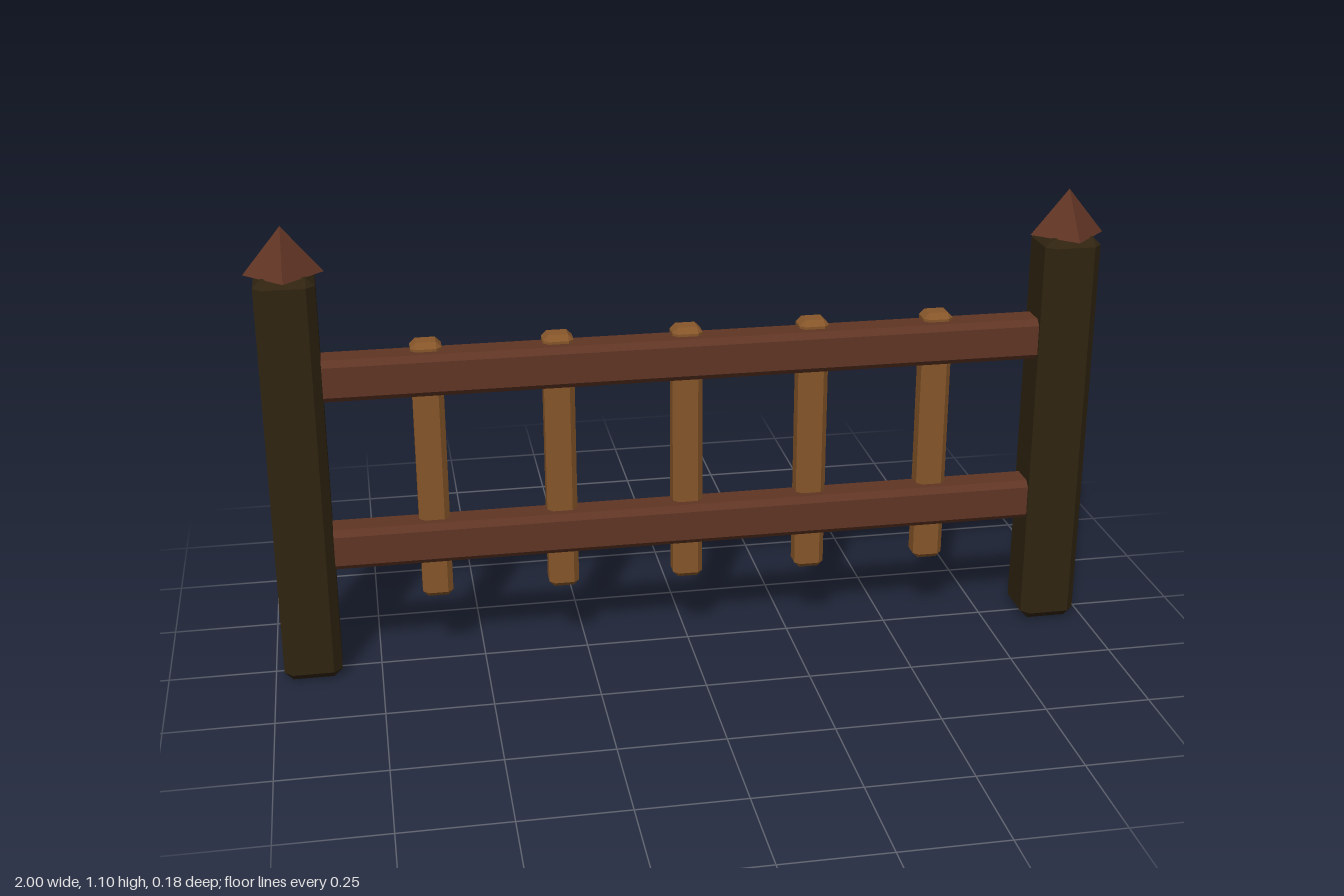
import * as THREE from 'three';
import { ConvexGeometry } from 'three/addons/geometries/ConvexGeometry.js';

const postWood = new THREE.MeshStandardMaterial({ color: 0x302411 });
postWood.name = 'darkPostWood';
const railWood = new THREE.MeshStandardMaterial({ color: 0x603524 });
railWood.name = 'redBrownWood';
const slatWood = new THREE.MeshStandardMaterial({ color: 0x87562a });
slatWood.name = 'lightSlatWood';

// Box with every edge cut by a flat chamfer c, centred on the origin
function chamferBox(w, h, d, c) {
  const points = [];
  for (const sx of [-1, 1]) for (const sy of [-1, 1]) for (const sz of [-1, 1]) {
    for (let axis = 0; axis < 3; axis++) {
      const cut = [c, c, c];
      cut[axis] = 0;
      points.push(new THREE.Vector3(
        sx * (w / 2 - cut[0]), sy * (h / 2 - cut[1]), sz * (d / 2 - cut[2])));
    }
  }
  return new ConvexGeometry(points);
}

function addPart(group, name, geometry, material, x, y, z) {
  const mesh = new THREE.Mesh(geometry, material);
  mesh.name = name;
  mesh.position.set(x, y, z);
  group.add(mesh);
}

export function createModel() {
  const fence = new THREE.Group();
  fence.name = 'fence';

  // End posts with four-sided pointed caps turned corner-forward
  const postGeo = chamferBox(0.136, 0.99, 0.136, 0.02);
  const capGeo = new THREE.ConeGeometry(0.089, 0.108, 4).toNonIndexed();
  capGeo.computeVertexNormals();
  for (const [side, x] of [['left', 0.911], ['right', -0.911]]) {
    addPart(fence, side + 'Post', postGeo, postWood, x, 0.495, 0);
    addPart(fence, side + 'PostCap', capGeo, railWood, x, 1.042, 0);
  }

  // Horizontal rails, ending inside the posts
  const railGeo = chamferBox(1.8, 0.1, 0.086, 0.014);
  addPart(fence, 'lowerRail', railGeo, railWood, 0, 0.32, 0);
  addPart(fence, 'upperRail', railGeo, railWood, 0, 0.738, 0);

  // Upright slats, set toward the back of the rails
  const slatGeo = chamferBox(0.072, 0.64, 0.064, 0.013);
  for (let i = -2; i <= 2; i++) {
    addPart(fence, 'slat' + (i + 3), slatGeo, slatWood, i * 0.303, 0.487, -0.021);
  }
  return fence;
}
